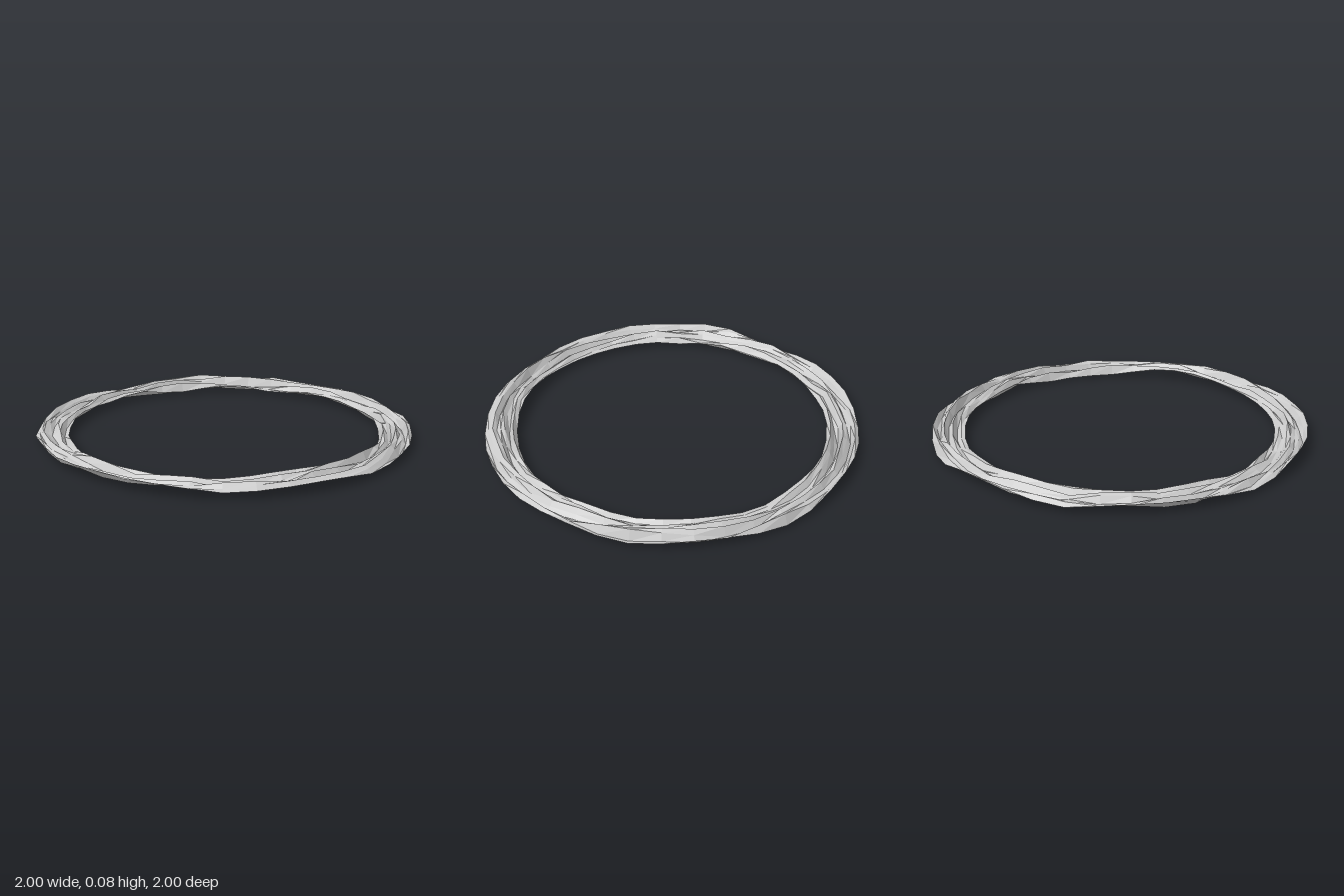
import * as THREE from 'three';

const SEGMENTS = 40, BANDS = 8;
const INNER = 0.828, OUTER = 1.0;
const LOW = 0.004, HIGH = 0.088;

// Small seeded generator for the uneven heights
function seeded(seed) {
  return () => {
    seed = (seed * 1664525 + 1013904223) % 4294967296;
    return seed / 4294967296;
  };
}

// One closed row of heights, softened along the circumference
function heightRow(random) {
  const raw = Array.from({ length: SEGMENTS }, () => random() - 0.5);
  return raw.map((h, i) => {
    const before = raw[(i + SEGMENTS - 1) % SEGMENTS];
    const after = raw[(i + 1) % SEGMENTS];
    return h * 0.6 + (before + after) * 0.3;
  });
}

export function createModel() {
  const group = new THREE.Group();
  group.name = 'ruggedRing';

  // Flat ring laid down on the ground plane
  const geometry = new THREE.RingGeometry(INNER, OUTER, SEGMENTS, BANDS);
  geometry.rotateX(-Math.PI / 2);

  // Lift each vertex by its row's height; the last column repeats the first
  const random = seeded(17);
  const rows = Array.from({ length: BANDS + 1 }, () => heightRow(random));
  const all = rows.flat();
  const min = Math.min(...all), max = Math.max(...all);
  const position = geometry.attributes.position;
  for (let j = 0; j <= BANDS; j++) {
    for (let i = 0; i <= SEGMENTS; i++) {
      const t = (rows[j][i % SEGMENTS] - min) / (max - min);
      position.setY(j * (SEGMENTS + 1) + i, THREE.MathUtils.lerp(LOW, HIGH, t));
    }
  }
  geometry.computeVertexNormals();

  const material = new THREE.MeshStandardMaterial({
    color: 0xcccccc, flatShading: true, side: THREE.DoubleSide,
  });
  const ring = new THREE.Mesh(geometry, material);
  ring.name = 'ringSurface';
  group.add(ring);
  return group;
}
